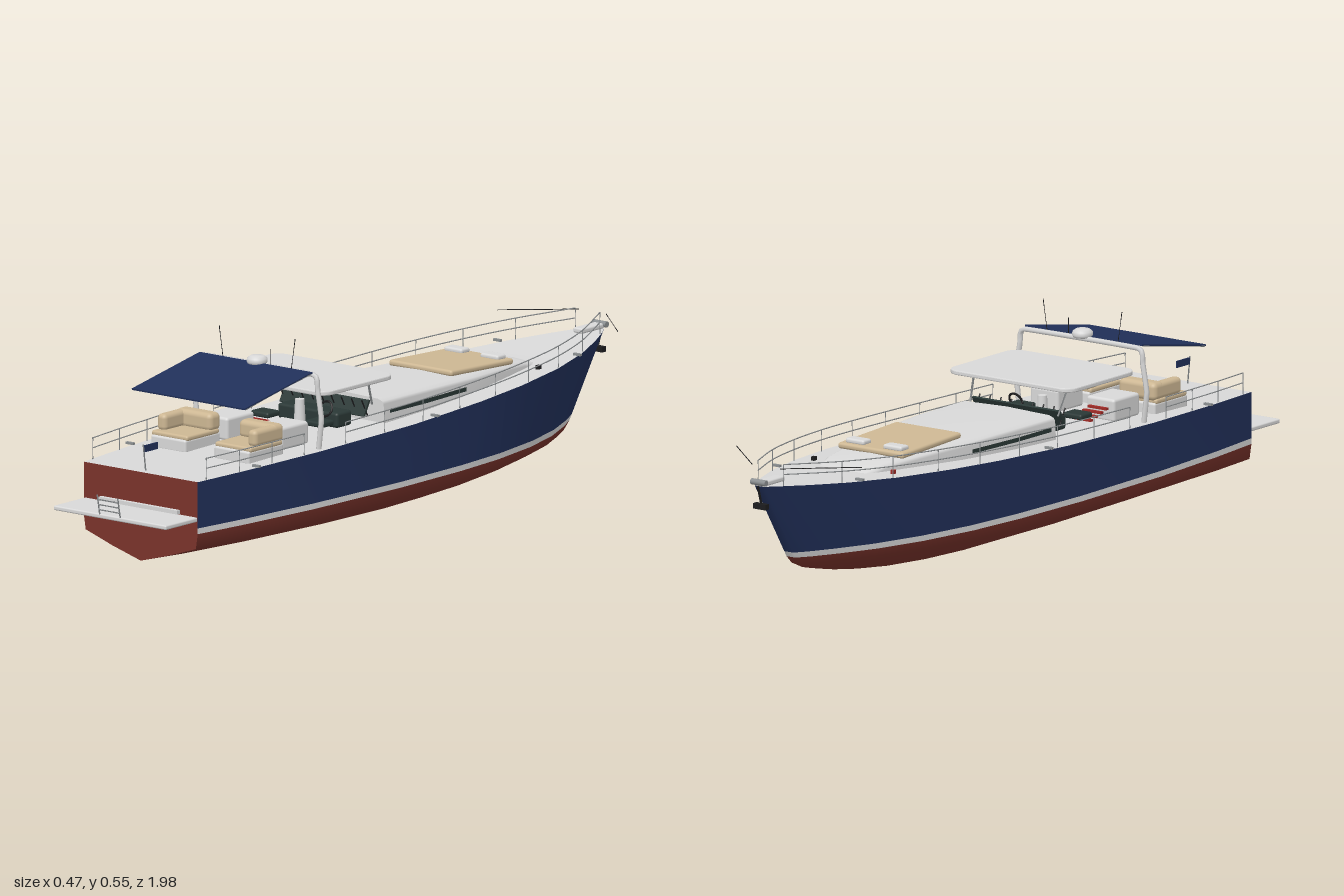
import * as THREE from 'three';
import { RoundedBoxGeometry } from 'three/addons/geometries/RoundedBoxGeometry.js';

const V = (x, y, z) => new THREE.Vector3(x, y, z);
const lerp = THREE.MathUtils.lerp;

export function createModel() {
  const boat = new THREE.Group();
  boat.name = 'motorYacht';
  const mat = (name, color) => {
    const m = new THREE.MeshStandardMaterial({ color, side: THREE.DoubleSide });
    m.name = name;
    return m;
  };
  const navy = mat('navy', 0x21305a), red = mat('bottomRed', 0x7a332b), white = mat('gelcoatWhite', 0xd8d8d8);
  const tan = mat('tanUpholstery', 0xcdb793), steel = mat('steel', 0x8c9092), dark = mat('darkGlass', 0x2a3836);
  const black = mat('black', 0x1c1c1e), bright = mat('brightRed', 0xa02a26);

  const add = (name, geo, material, x = 0, y = 0, z = 0) => {
    const m = new THREE.Mesh(geo, material);
    m.name = name;
    m.position.set(x, y, z);
    boat.add(m);
    return m;
  };
  const box = (name, m, w, h, d, x, y, z, r = 0) => add(name,
    r ? new RoundedBoxGeometry(w, h, d, 3, r) : new THREE.BoxGeometry(w, h, d), m, x, y, z);
  const tube = (name, m, pts, r = 0.0018, seg = 24, tension = 0.5) => add(name,
    new THREE.TubeGeometry(new THREE.CatmullRomCurve3(pts, false, 'catmullrom', tension), seg, r, 6), m);
  const rod = (name, m, a, b, r = 0.0018) => tube(name, m, [a, b], r, 1);

  // Skin through cross-sections listed from stern to bow
  const loft = (name, sections, material) => {
    const n = sections[0].length, index = [];
    for (let i = 0; i < sections.length - 1; i++) for (let j = 0; j < n - 1; j++) {
      const a = i * n + j, b = a + n;
      index.push(a, b, a + 1, b, b + 1, a + 1);
    }
    const g = new THREE.BufferGeometry().setFromPoints(sections.flat());
    g.setIndex(index);
    g.computeVertexNormals();
    return add(name, g, material);
  };
  const endCap = (name, pts, material, z) =>
    add(name, new THREE.ShapeGeometry(new THREE.Shape(pts.map(p => new THREE.Vector2(p.x, p.y)))), material, 0, 0, z);

  // Hull stations: fraction from stern to bow, half width, keel height, sheer height
  const stations = [
    [0, 0.189, 0.03, 0.262], [0.1, 0.206, 0.02, 0.265], [0.25, 0.222, 0.01, 0.27], [0.45, 0.226, 0.002, 0.278],
    [0.6, 0.215, 0, 0.288], [0.7, 0.198, 0.006, 0.296], [0.8, 0.165, 0.018, 0.304], [0.88, 0.122, 0.034, 0.312],
    [0.94, 0.075, 0.05, 0.319], [0.98, 0.038, 0.064, 0.324], [1, 0.014, 0.072, 0.326], [1, 0, 0.072, 0.326]];
  const STERN = 0.855;
  // Height levels: width factor, stem position, height rule
  const levels = [
    [0, -0.76, s => s[2]],
    [0.5, -0.79, s => lerp(s[2], 0.087, 0.47)],
    [0.967, -0.825, s => 0.086 + 0.01 * s[0]],
    [1, -0.845, s => 0.126 - 0.01 * s[0]],
    [1, -0.855, s => 0.141 - 0.01 * s[0]],
    [1, -0.98, s => s[3]]];
  const point = (s, l, side) => V(side * s[1] * levels[l][0], levels[l][2](s), lerp(STERN, levels[l][1], s[0]));
  const section = s => [...[3, 2, 1].map(l => point(s, l, -1)), ...[0, 1, 2, 3].map(l => point(s, l, 1))];

  loft('hullBottom', stations.map(section), red);
  for (const [name, lo, m] of [['waterlineStripe', 3, white], ['hullSide', 4, navy]]) {
    loft(name + 'Left', stations.map(s => [point(s, lo, 1), point(s, lo + 1, 1)]), m);
    loft(name + 'Right', stations.map(s => [point(s, lo + 1, -1), point(s, lo, -1)]), m);
  }
  loft('deck', stations.map(s => [point(s, 5, 1), point(s, 5, -1)]), white);
  const s0 = stations[0];
  endCap('transom', [point(s0, 5, -1), ...section(s0), point(s0, 5, 1)], red, STERN);

  // Sheer line lookup for deck fittings
  const sheer = (z, side, up = 0, inset = 0.004) => {
    const u = (STERN - z) / (STERN + 0.98);
    const i = Math.min(stations.findIndex(s => s[0] > u), 10), a = stations[i - 1], b = stations[i];
    const t = (u - a[0]) / (b[0] - a[0]);
    return V(side * (lerp(a[1], b[1], t) - inset), lerp(a[3], b[3], t) + up, z);
  };

  // Coachroof, sloping down to the foredeck
  const roof = [[0.07, 0.157, 0.338], [-0.1, 0.156, 0.338], [-0.3, 0.142, 0.333], [-0.45, 0.117, 0.327],
    [-0.57, 0.095, 0.319], [-0.63, 0.082, 0.304]].map(([z, w, top]) => {
    const half = [[1, 0.275], [0.98, top - 0.012], [0.95, top - 0.005], [0.86, top]];
    return [...half.map(([f, y]) => V(w * f, y, z)), V(0, top + 0.004, z),
      ...half.slice().reverse().map(([f, y]) => V(-w * f, y, z))];
  });
  loft('coachroof', roof, white);
  endCap('coachroofBulkhead', roof[0], white, 0.07);
  for (const side of [1, -1])
    loft('cabinWindow', [[0.05, 0.158], [-0.1, 0.157], [-0.27, 0.1465]].map(([z, w]) =>
      [V(side * w, 0.301, z), V(side * w, 0.312, z)]), dark);

  // Sunpad with pillows
  const pad = box('sunpad', tan, 0.21, 0.016, 0.25, 0, 0.337, -0.385, 0.007);
  pad.rotation.x = -0.04;
  for (const x of [-0.06, 0.06]) box('pillow', white, 0.06, 0.014, 0.035, x, 0.345, -0.48, 0.006);

  // Windscreen, dash and helm
  const screen = box('windscreen', dark, 0.28, 0.045, 0.006, 0, 0.322, 0.12);
  screen.rotation.x = -0.5;
  for (let i = -4; i <= 4; i++) rod('windscreenFrame', black, V(i * 0.034, 0.3, 0.112), V(i * 0.034, 0.345, 0.136), 0.002);
  box('dash', dark, 0.2, 0.04, 0.06, 0, 0.295, 0.16, 0.008);
  const wheel = add('helmWheel', new THREE.TorusGeometry(0.02, 0.003, 6, 20), black, 0.07, 0.325, 0.2);
  wheel.rotation.x = -0.4;
  add('helmPedestal', new THREE.CylinderGeometry(0.012, 0.016, 0.075, 16), white, 0, 0.307, 0.22);
  for (const x of [-0.09, 0.09]) {
    box('helmSeat', dark, 0.06, 0.015, 0.05, x, 0.3, 0.25, 0.006);
    box('wetBar', white, 0.09, 0.06, 0.11, x, 0.297, 0.4, 0.008);
  }
  for (let i = 0; i < 4; i++) box('companionStep', bright, 0.06, 0.006, 0.01, -0.09, 0.285 + i * 0.006, 0.27 + i * 0.022);

  // Aft lounge seats
  for (const side of [1, -1]) {
    box('seatBase', white, 0.116, 0.035, 0.14, side * 0.105, 0.279, 0.55, 0.006);
    box('seatCushion', tan, 0.12, 0.014, 0.13, side * 0.105, 0.3, 0.55, 0.006);
    box('seatBack', tan, 0.12, 0.048, 0.045, side * 0.105, 0.325, 0.5, 0.014);
    box('seatArm', tan, 0.03, 0.044, 0.11, side * 0.15, 0.325, 0.54, 0.012);
  }

  // Hardtop with rounded corners
  const w = 0.197, r = 0.035, d = 0.143, top = new THREE.Shape();
  top.absarc(w - r, d - r, r, 0, Math.PI / 2);
  top.absarc(-w + r, d - r, r, Math.PI / 2, Math.PI);
  top.absarc(-w + r, -d + r, r, Math.PI, Math.PI * 1.5);
  top.absarc(w - r, -d + r, r, Math.PI * 1.5, Math.PI * 2);
  const topGeo = new THREE.ExtrudeGeometry(top, { depth: 0.006, bevelSize: 0.003, bevelThickness: 0.003, bevelSegments: 2 });
  add('hardtop', topGeo.rotateX(-Math.PI / 2), white, 0, 0.404, 0.217);
  for (const side of [1, -1]) rod('hardtopPost', steel, V(side * 0.14, 0.33, 0.1), V(side * 0.15, 0.403, 0.13), 0.003);

  // Radar arch with dome and aerials
  const leg = [[0.2, 0.268], [0.209, 0.35], [0.196, 0.425], [0.182, 0.462]];
  tube('radarArch', white, [...leg.map(([x, y]) => V(x, y, 0.385)),
    ...leg.reverse().map(([x, y]) => V(-x, y, 0.385))], 0.007, 64, 0.15);
  add('radarDome', new THREE.LatheGeometry([[0, 0], [0.024, 0], [0.027, 0.006], [0.026, 0.015], [0.018, 0.021], [0, 0.022]]
    .map(([x, y]) => new THREE.Vector2(x, y)), 28), white, 0, 0.466, 0.39);
  for (const side of [1, -1]) rod('aerial', black, V(side * 0.113, 0.465, 0.39), V(side * 0.126, 0.548, 0.39), 0.0012);
  rod('shortAerial', black, V(0.045, 0.465, 0.39), V(0.045, 0.51, 0.39), 0.0012);

  // Aft sunshade
  const shade = box('sunshade', navy, 0.374, 0.004, 0.276, 0, 0.444, 0.53);
  shade.rotation.x = 0.18;
  for (const side of [1, -1]) rod('sunshadePole', steel, V(side * 0.185, 0.466, 0.4), V(side * 0.185, 0.418, 0.66), 0.0025);

  // Guard rails, stanchions and cleats
  for (const side of [1, -1]) {
    for (const [from, to, n] of [[0.82, 0.46, 4], [0.3, -0.93, 9]]) {
      const zs = Array.from({ length: n }, (_, i) => lerp(from, to, i / (n - 1)));
      for (const h of [0.03, 0.056]) tube('guardRail', steel, zs.map(z => sheer(z, side, h)), 0.0015, n * 5);
      zs.forEach(z => rod('stanchion', steel, sheer(z, side), sheer(z, side, 0.056), 0.0015));
    }
    rod('bowPole', black, V(side * 0.045, 0.372, -0.95), V(side * 0.2, 0.372, -0.81), 0.0012);
    for (const z of [-0.73, -0.05, 0.645]) {
      const p = sheer(z, side, 0.006, -0.002);
      box('cleat', steel, 0.024, 0.006, 0.008, p.x, p.y, p.z);
    }
    box('navigationLight', side > 0 ? black : bright, 0.01, 0.01, 0.012, side * 0.127, 0.308, -0.58);
  }

  // Bow roller, windlass and anchor
  box('bowRoller', white, 0.032, 0.014, 0.09, 0, 0.332, -0.935, 0.005);
  const drum = add('windlass', new THREE.CylinderGeometry(0.008, 0.008, 0.046, 14), steel, 0, 0.336, -0.98);
  drum.rotation.z = Math.PI / 2;
  rod('anchorShank', black, V(0, 0.325, -0.985), V(0, 0.27, -0.968), 0.004);
  box('anchorFluke', black, 0.04, 0.014, 0.016, 0, 0.272, -0.972);

  // Swim platform and boarding ladder
  box('swimPlatform', white, 0.374, 0.012, 0.13, 0, 0.163, 0.915, 0.004);
  box('platformStep', white, 0.26, 0.01, 0.012, 0, 0.176, 0.861);
  for (const x of [-0.034, 0.034]) rod('ladderSide', steel, V(x, 0.168, 0.978), V(x, 0.22, 0.988), 0.002);
  for (let i = 0; i < 3; i++) rod('ladderRung', steel, V(-0.034, 0.18 + i * 0.014, 0.98 + i * 0.003), V(0.034, 0.18 + i * 0.014, 0.98 + i * 0.003), 0.002);

  // Stern flag
  rod('flagPole', steel, V(0, 0.26, 0.835), V(0, 0.332, 0.845), 0.002);
  box('flag', navy, 0.003, 0.018, 0.055, 0, 0.32, 0.815);
  return boat;
}
